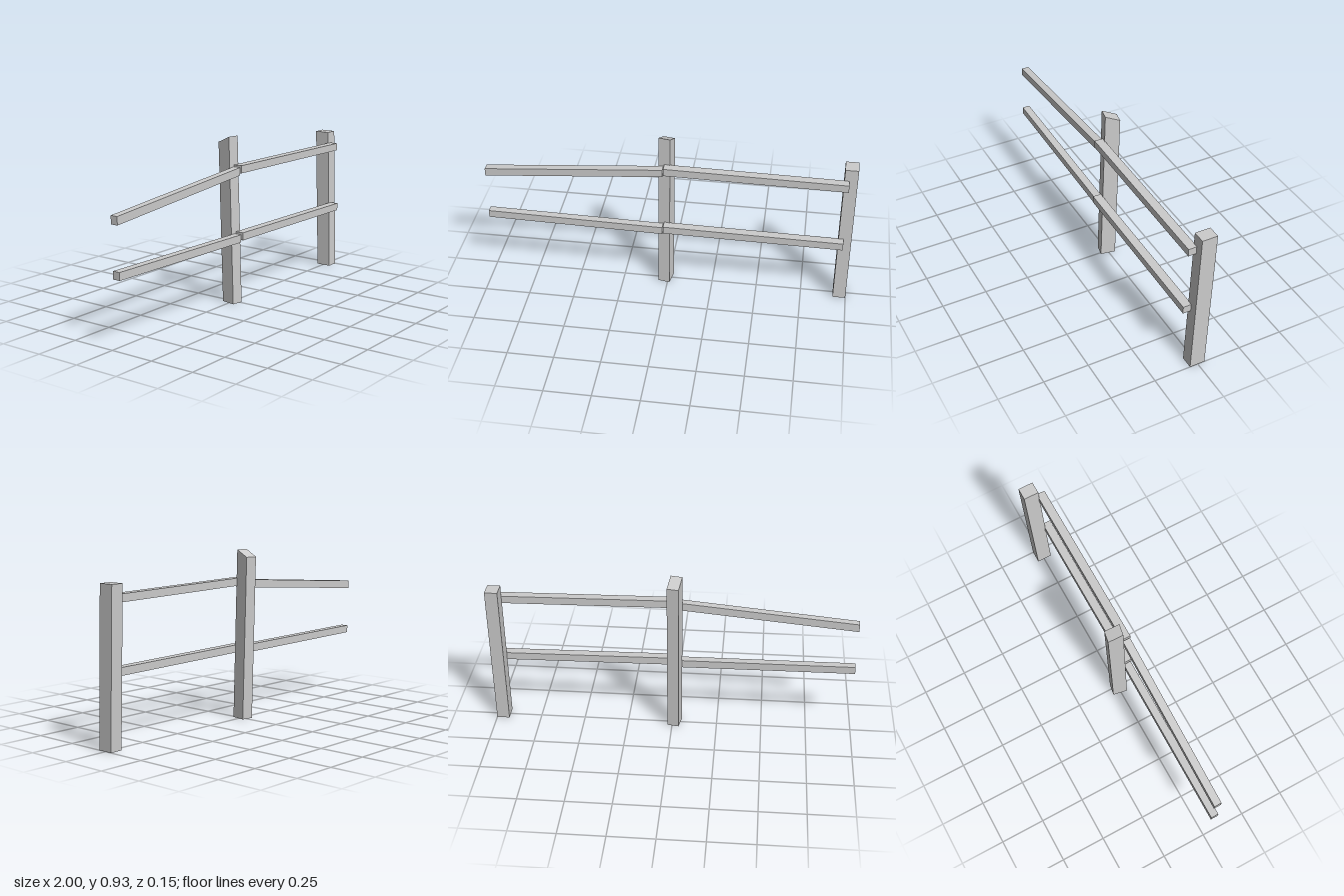
import * as THREE from 'three';

const material = new THREE.MeshStandardMaterial({ color: 0xcccccc, flatShading: true, side: THREE.DoubleSide });

// Move every corner of a unit box by a rule (x, y, z each +-0.5)
function shapedBox(name, rule, openBottom = false) {
  const geo = new THREE.BoxGeometry(1, 1, 1);
  const p = geo.attributes.position;
  for (let i = 0; i < p.count; i++) p.setXYZ(i, ...rule(p.getX(i), p.getY(i), p.getZ(i)));
  if (openBottom) {
    // box faces come in six groups of six indices; the fourth is the underside
    const index = Array.from(geo.index.array);
    index.splice(18, 6);
    geo.setIndex(index);
    geo.clearGroups();
  }
  geo.computeVertexNormals();
  const mesh = new THREE.Mesh(geo, material);
  mesh.name = name;
  return mesh;
}

// Leaning post, twisted about y, with front and back top heights
function post(name, { x, z, width, depth, front, back, twist, lean }) {
  const c = Math.cos(twist), s = Math.sin(twist);
  return shapedBox(name, (u, v, w) => {
    const y = v < 0 ? 0 : w > 0 ? front : back;
    const dx = u * width, dz = w * depth;
    return [x + c * dx + s * dz, y, z - s * dx + c * dz - lean * y];
  }, true);
}

// Rail between two ends, each given as [x, bottom, top, back, front]
function rail(name, left, right) {
  return shapedBox(name, (u, v, w) => {
    const [x, bottom, top, back, front] = u < 0 ? left : right;
    return [x, v < 0 ? bottom : top, w < 0 ? back : front];
  });
}

export function createModel() {
  const group = new THREE.Group();
  group.name = 'fence';

  // Posts
  group.add(
    post('middlePost', { x: -0.013, z: 0, width: 0.064, depth: 0.083, front: 0.93, back: 0.893, twist: -0.18, lean: 0.031 }),
    post('endPost', { x: 0.965, z: 0.003, width: 0.07, depth: 0.085, front: 0.827, back: 0.827, twist: 0, lean: 0.032 })
  );

  // Rails
  group.add(
    rail('upperLeftRail', [-1, 0.636, 0.68, 0.012, 0.053], [-0.025, 0.722, 0.765, 0.018, 0.061]),
    rail('lowerLeftRail', [-1, 0.364, 0.406, 0.018, 0.06], [-0.025, 0.352, 0.395, 0.026, 0.069]),
    rail('upperRightRail', [-0.02, 0.733, 0.775, 0.018, 0.066], [0.957, 0.72, 0.762, 0.018, 0.066]),
    rail('lowerRightRail', [-0.02, 0.364, 0.406, 0.03, 0.078], [0.957, 0.352, 0.394, 0.03, 0.078])
  );
  return group;
}
